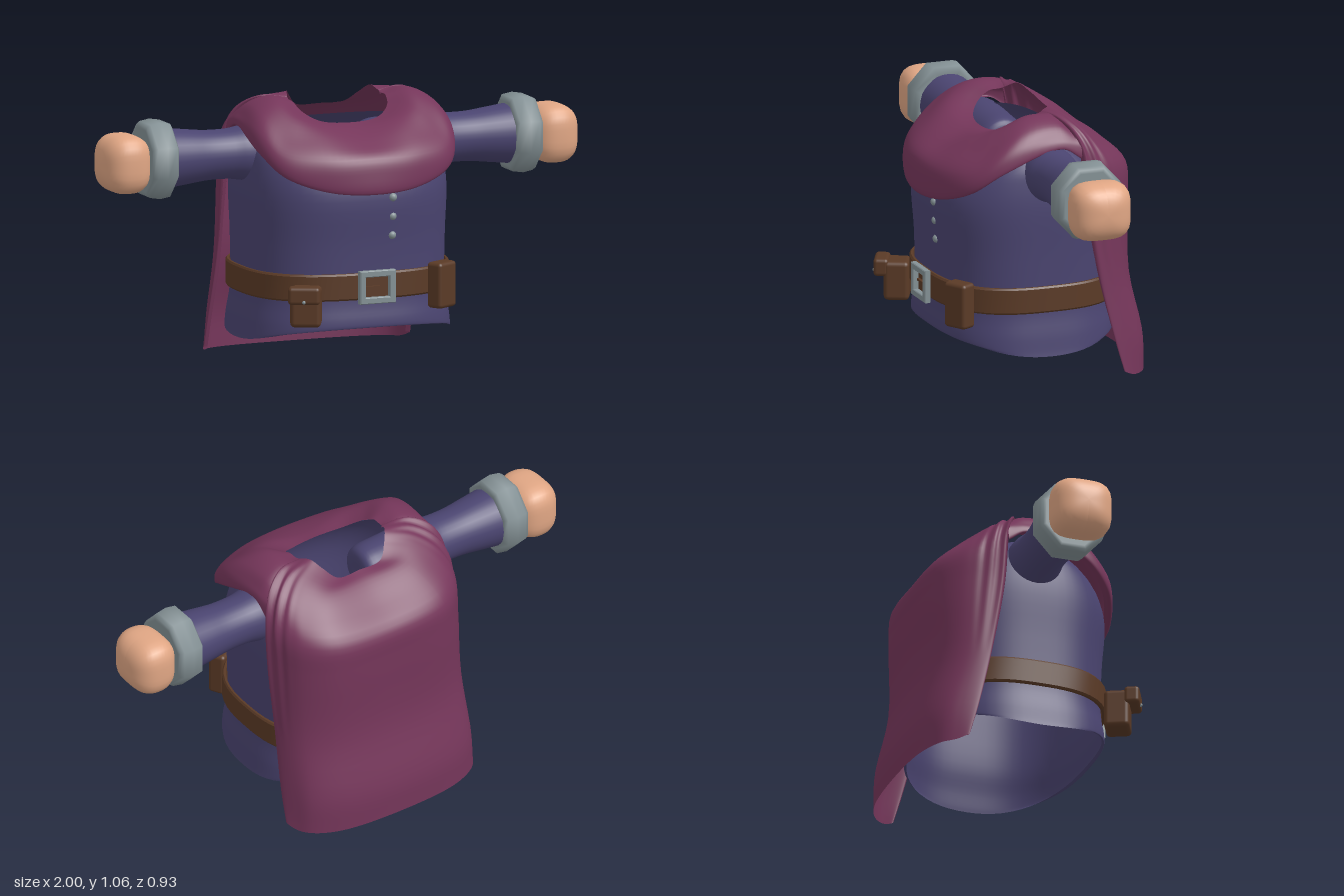
import * as THREE from 'three';
import { mergeVertices, toCreasedNormals } from 'three/addons/utils/BufferGeometryUtils.js';
import { RoundedBoxGeometry } from 'three/addons/geometries/RoundedBoxGeometry.js';

const V = (x, y, z) => new THREE.Vector3(x, y, z);

function material(name, color, side = THREE.FrontSide) {
  const m = new THREE.MeshStandardMaterial({ color, side });
  m.name = name;
  return m;
}

// Grid surface from a point function f(u, v), both 0..1
function surface(f, nu, nv) {
  const pos = [], index = [];
  for (let i = 0; i <= nu; i++)
    for (let j = 0; j <= nv; j++) pos.push(...f(i / nu, j / nv).toArray());
  for (let i = 0; i < nu; i++)
    for (let j = 0; j < nv; j++) {
      const a = i * (nv + 1) + j, b = a + nv + 1;
      index.push(a, a + 1, b, b, a + 1, b + 1);
    }
  let g = new THREE.BufferGeometry();
  g.setAttribute('position', new THREE.Float32BufferAttribute(pos, 3));
  g.setIndex(index);
  g = mergeVertices(g, 1e-5);
  g.computeVertexNormals();
  return g;
}

// Point on a rounded-square outline with half sizes a and b; u = 0 is the back
function outline(u, a, b, y) {
  const t = u * Math.PI * 2, s = Math.sin(t), c = -Math.cos(t), n = 2.7;
  const r = (Math.abs(s) ** n + Math.abs(c) ** n) ** (-1 / n);
  return V(a * s * r, y, b * c * r);
}

// Smooth cloth through half-width columns of points, mirrored across x = 0
function cloth(cols, nu, nv, ripple = 0) {
  const half = cols.map(c => c.map(p => V(...p)));
  const other = half.slice(1).reverse().map(c => c.map(p => V(-p.x, p.y, p.z)));
  const curves = [...other, ...half].map(c => new THREE.CatmullRomCurve3(c, false, 'centripetal'));
  const rows = [];
  for (let j = 0; j <= nv; j++)
    rows.push(new THREE.CatmullRomCurve3(curves.map(c => c.getPoint(j / nv)), false, 'centripetal'));
  return surface((u, v) => {
    const p = rows[Math.round(v * nv)].getPoint(u);
    const e = Math.abs(u - 0.5) * 2;
    // Pleats gathered at the shoulders, fading down the cloth
    const w = ripple * THREE.MathUtils.smoothstep(e, 0.45, 0.7) * Math.sin(Math.PI * Math.min(1, v * 1.4));
    const d = w * Math.sin(e * 52);
    return p.add(V(Math.sign(p.x) * d, d * 0.8, 0));
  }, nu, nv);
}

export function createModel() {
  const root = new THREE.Group();
  root.name = 'tunicWithCape';
  const blue = material('blueCloth', 0x4a4470, THREE.DoubleSide);
  const plum = material('plumCape', 0x75365a, THREE.DoubleSide);
  const brown = material('brownLeather', 0x5a3a26, THREE.DoubleSide);
  const skin = material('skin', 0xe0a684);
  const grey = material('greyMetal', 0x849195);

  const add = (name, geo, mat, x = 0, y = 0, z = 0, parent = root) => {
    const m = new THREE.Mesh(geo, mat);
    m.name = name;
    m.position.set(x, y, z);
    parent.add(m);
    return m;
  };

  // Torso: rows of (half width, height, half depth), open at neck and hem
  const body = new THREE.CatmullRomCurve3([
    V(0.428, 0.12, 0.345), V(0.425, 0.14, 0.356), V(0.418, 0.2, 0.357), V(0.403, 0.3, 0.346),
    V(0.403, 0.5, 0.35), V(0.408, 0.7, 0.36), V(0.4, 0.8, 0.325), V(0.385, 0.87, 0.26), V(0.33, 0.94, 0.16),
  ], false, 'centripetal');
  add('torso', surface((u, v) => {
    const q = body.getPoint(v), p = outline(u, q.x, q.z, q.y);
    p.y += 0.07 * (p.z / q.z) ** 2 * Math.max(0, 1 - v * 3.2);
    return p;
  }, 64, 36), blue);

  // Belt with buckle
  const beltProfile = [[0.406, 0.351, 0.295], [0.414, 0.36, 0.295], [0.419, 0.366, 0.302],
    [0.419, 0.366, 0.393], [0.414, 0.36, 0.4], [0.406, 0.351, 0.4]];
  add('belt', toCreasedNormals(surface((u, v) =>
    outline(u, ...beltProfile[Math.round(v * 5)]), 64, 5), 0.6), brown);
  const rect = (P, w, h) => new P([[-w, -h], [w, -h], [w, h], [-w, h]].map(p => new THREE.Vector2(...p)));
  const frame = rect(THREE.Shape, 0.072, 0.062);
  frame.holes.push(rect(THREE.Path, 0.054, 0.043));
  add('buckle', new THREE.ExtrudeGeometry(frame, {
    depth: 0.02, bevelThickness: 0.003, bevelSize: 0.003, bevelSegments: 1 }), grey, 0.005, 0.347, 0.372);
  add('buckleTongue', new THREE.BoxGeometry(0.07, 0.008, 0.012), brown, -0.015, 0.345, 0.372);

  // Pouches on the belt
  const leftPouch = add('leftPouch', new RoundedBoxGeometry(0.105, 0.18, 0.07, 3, 0.015), brown, 0.298, 0.33, 0.335);
  leftPouch.rotation.y = 0.5;
  const pouch = new THREE.Group();
  pouch.name = 'rightPouch';
  pouch.position.set(-0.287, 0.287, 0.365);
  pouch.rotation.y = -0.45;
  root.add(pouch);
  add('pouchBody', new RoundedBoxGeometry(0.12, 0.155, 0.1, 3, 0.018), brown, 0, 0, 0, pouch);
  add('pouchFlap', new RoundedBoxGeometry(0.125, 0.07, 0.06, 3, 0.015), brown, -0.004, 0.053, 0.06, pouch);
  add('pouchStud', new THREE.SphereGeometry(0.007, 10, 8), grey, -0.004, 0.03, 0.09, pouch);

  // Front buttons
  for (const y of [0.69, 0.615, 0.54])
    add('button', new THREE.SphereGeometry(0.017, 16, 12), grey, 0.083, y, 0.345 + (y - 0.54) * 0.06);

  // Arms: sleeve, octagonal cuff and rounded fist
  const profile = list => list.map(p => new THREE.Vector2(...p));
  const sleeve = new THREE.LatheGeometry(new THREE.SplineCurve(profile([
    [0, 0.1], [0.065, 0.1], [0.095, 0.13], [0.102, 0.22], [0.108, 0.38], [0.098, 0.46], [0.098, 0.55],
    [0.108, 0.64], [0.12, 0.74],
  ])).getPoints(32), 32);
  const cuff = new THREE.LatheGeometry(profile([
    [0.1, 0.72], [0.134, 0.71], [0.155, 0.722], [0.162, 0.765], [0.155, 0.805], [0.145, 0.82],
    [0.13, 0.822], [0, 0.822],
  ]), 8, Math.PI / 8);
  const fist = new THREE.SphereGeometry(1, 32, 24);
  const fp = fist.attributes.position;
  for (let i = 0; i < fp.count; i++) {
    // Square across the arm, rounder along it
    const p = V().fromBufferAttribute(fp, i), n = 3.6, m = 2.5;
    const side = (Math.abs(p.x) ** n + Math.abs(p.z) ** n) ** (1 / n);
    const r = (side ** m + Math.abs(p.y) ** m) ** (-1 / m);
    fp.setXYZ(i, p.x * r * 0.115, p.y * r * 0.1, p.z * r * 0.12);
  }
  fist.computeVertexNormals();
  for (const s of [1, -1]) {
    const arm = new THREE.Group();
    arm.name = s > 0 ? 'leftArm' : 'rightArm';
    arm.position.set(0, 0.84, -0.012);
    arm.rotation.z = -s * Math.PI / 2;
    root.add(arm);
    add('sleeve', sleeve, blue, 0, 0, 0, arm);
    add('cuff', cuff, grey, 0, 0, 0, arm).scale.z = 0.92;
    add('hand', fist, skin, s * 0.008, 0.9, 0, arm);
  }

  // Cape collar: columns run from neck to hem, front centre to shoulder
  add('capeFront', cloth([
    [[0, 0.955, 0.135], [0, 0.94, 0.2], [0, 0.9, 0.3], [0, 0.85, 0.378], [0, 0.78, 0.398], [0, 0.712, 0.398], [0, 0.72, 0.37]],
    [[0.12, 0.965, 0.115], [0.16, 0.965, 0.2], [0.18, 0.915, 0.29], [0.19, 0.85, 0.358], [0.19, 0.78, 0.375], [0.19, 0.728, 0.37], [0.18, 0.735, 0.345]],
    [[0.18, 1.0, 0.07], [0.25, 1.0, 0.16], [0.315, 0.93, 0.235], [0.345, 0.87, 0.285], [0.352, 0.82, 0.302], [0.345, 0.785, 0.3], [0.33, 0.79, 0.28]],
    [[0.195, 1.03, 0.02], [0.28, 1.05, 0.06], [0.36, 1.01, 0.11], [0.4, 0.955, 0.155], [0.412, 0.91, 0.175], [0.41, 0.87, 0.185], [0.395, 0.87, 0.18]],
    [[0.195, 1.035, -0.03], [0.28, 1.053, -0.04], [0.36, 1.025, -0.05], [0.395, 0.985, -0.05], [0.408, 0.965, -0.05], [0.411, 0.945, -0.05], [0.395, 0.945, -0.05]],
    [[0.18, 1.055, -0.08], [0.28, 1.035, -0.09], [0.36, 1.0, -0.11], [0.4, 0.965, -0.12], [0.41, 0.94, -0.13], [0.413, 0.9, -0.13], [0.4, 0.9, -0.13]],
  ], 64, 30), plum);

  // Cape back: from the neck down to the long hem, back centre to turned-in side edge
  add('capeBack', cloth([
    [[0, 0.982, -0.17], [0, 0.965, -0.22], [0, 0.905, -0.3], [0, 0.82, -0.393], [0, 0.7, -0.4], [0, 0.4, -0.4], [0, 0.13, -0.458], [0, 0, -0.46]],
    [[0.1, 0.985, -0.168], [0.17, 0.975, -0.22], [0.22, 0.92, -0.29], [0.255, 0.83, -0.372], [0.26, 0.7, -0.382], [0.26, 0.4, -0.382], [0.265, 0.14, -0.437], [0.265, 0.002, -0.44]],
    [[0.145, 1.025, -0.13], [0.24, 1, -0.18], [0.315, 0.935, -0.24], [0.36, 0.845, -0.3], [0.365, 0.7, -0.315], [0.365, 0.4, -0.33], [0.375, 0.15, -0.385], [0.375, 0.006, -0.393]],
    [[0.175, 1.055, -0.09], [0.28, 1.03, -0.12], [0.36, 0.97, -0.17], [0.405, 0.87, -0.21], [0.41, 0.7, -0.23], [0.41, 0.4, -0.265], [0.415, 0.15, -0.325], [0.415, 0.01, -0.345]],
    [[0.195, 1.037, -0.04], [0.29, 1.048, -0.06], [0.37, 1.005, -0.1], [0.41, 0.92, -0.13], [0.42, 0.7, -0.15], [0.422, 0.4, -0.205], [0.433, 0.15, -0.265], [0.435, 0.03, -0.3]],
    [[0.195, 1.025, -0.04], [0.28, 1.035, -0.06], [0.355, 0.995, -0.1], [0.395, 0.91, -0.13], [0.403, 0.7, -0.15], [0.405, 0.4, -0.205], [0.415, 0.15, -0.27], [0.417, 0.03, -0.305]],
  ], 120, 32, 0.007), plum);

  return root;
}
